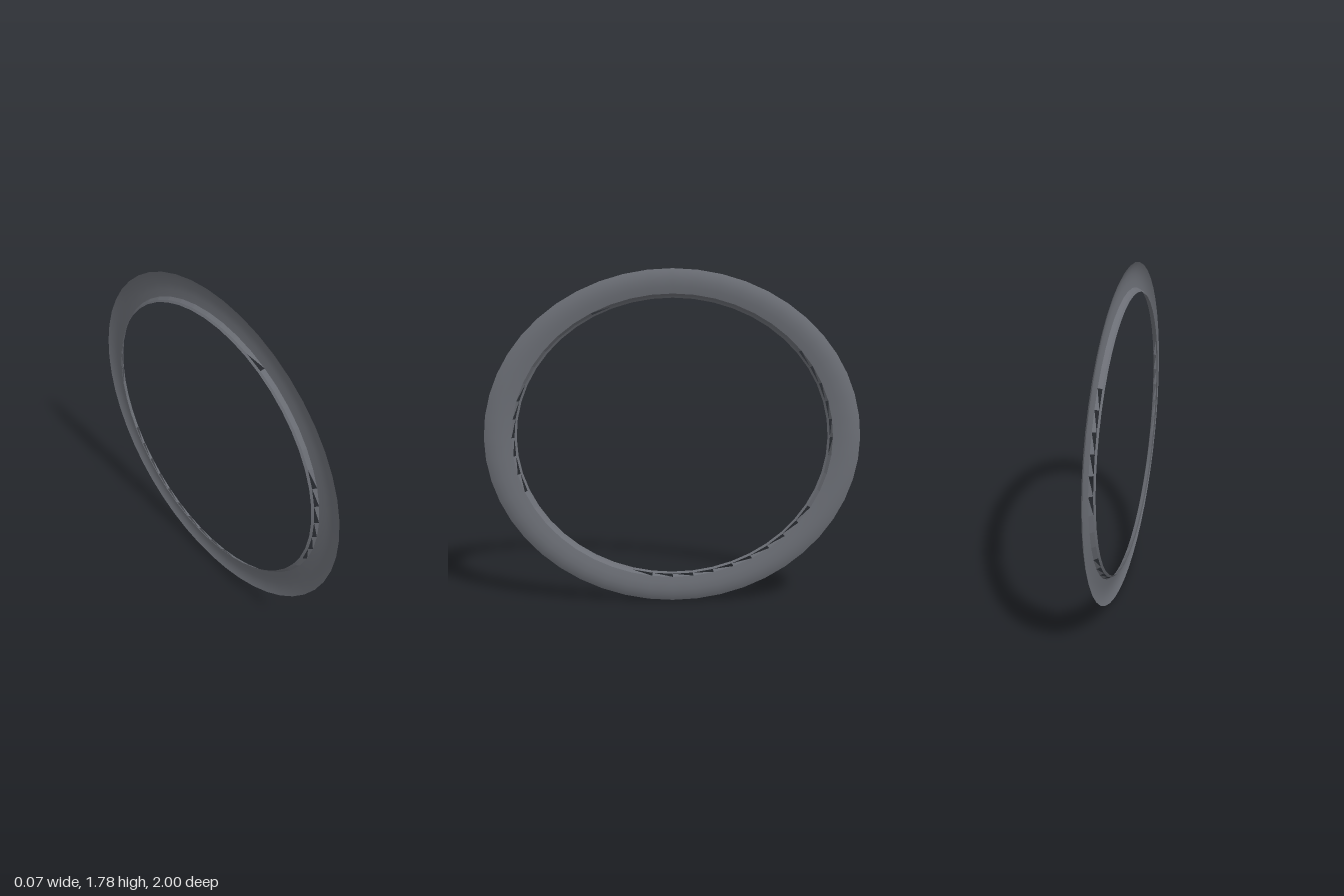
import * as THREE from 'three';

const SEGMENTS = 48;
const HEIGHT = 0.888; // vertical radius of the oval; the depth radius is 1

// Turns a unit ring around the y axis into the upright, slightly tilted oval
const toOval = new THREE.Matrix4()
  .set(1, -0.016, 0, 0, 0, HEIGHT, 0, HEIGHT, 0, 0, 1, 0, 0, 0, 0, 1)
  .multiply(new THREE.Matrix4().makeRotationZ(-Math.PI / 2));

const material = new THREE.MeshStandardMaterial({ color: 0x6b6e75, side: THREE.DoubleSide });

// Profile corners as [radius, sideways offset]
const BAND_EDGE = [0.853, 0.008];
const LIP_EDGE = [0.84, -0.012];
const LIP_INNER = [0.829, -0.021];

function sweep(name, profile) {
  const points = profile.map(([r, h]) => new THREE.Vector2(r, h));
  const geometry = new THREE.LatheGeometry(points, SEGMENTS).applyMatrix4(toOval);
  const mesh = new THREE.Mesh(geometry, material);
  mesh.name = name;
  return mesh;
}

// Angular spans (degrees, from the front, rising) where the web is open
const OPEN_SPANS = [[-26, 26], [58, 67], [-56, -49], [-150, -78], [143, 187]];

// Web of triangles joining band and lip; open spans keep only every other one
function makeWeb() {
  const positions = [];
  const step = (Math.PI * 2) / SEGMENTS;
  const at = ([r, h], i) => [-r * Math.sin(i * step), h, r * Math.cos(i * step)];
  // Map the ring's angle so that it rises from the front after toOval
  for (let i = 0; i < SEGMENTS; i++) {
    const band0 = at(BAND_EDGE, i), band1 = at(BAND_EDGE, i + 1);
    const lip0 = at(LIP_EDGE, i), lip1 = at(LIP_EDGE, i + 1);
    positions.push(...band0, ...band1, ...lip1);
    const degrees = ((i + 0.5) * 360) / SEGMENTS;
    const open = OPEN_SPANS.some(([a, b]) =>
      [degrees, degrees - 360].some((d) => d > a && d < b));
    if (!open) positions.push(...band0, ...lip1, ...lip0);
  }
  const geometry = new THREE.BufferGeometry();
  geometry.setAttribute('position', new THREE.Float32BufferAttribute(positions, 3));
  geometry.applyMatrix4(toOval);
  geometry.computeVertexNormals();
  const mesh = new THREE.Mesh(geometry, material);
  mesh.name = 'toothedWeb';
  return mesh;
}

export function createModel() {
  const group = new THREE.Group();
  group.name = 'ovalTrimRing';
  // Wide, gently domed band
  group.add(sweep('outerBand', [
    [1, 0], [0.985, 0.007], [0.962, 0.014], [0.932, 0.018], [0.893, 0.016], BAND_EDGE,
  ]));
  // Narrow lip inside the band
  group.add(sweep('innerLip', [LIP_EDGE, LIP_INNER]));
  group.add(makeWeb());
  return group;
}
